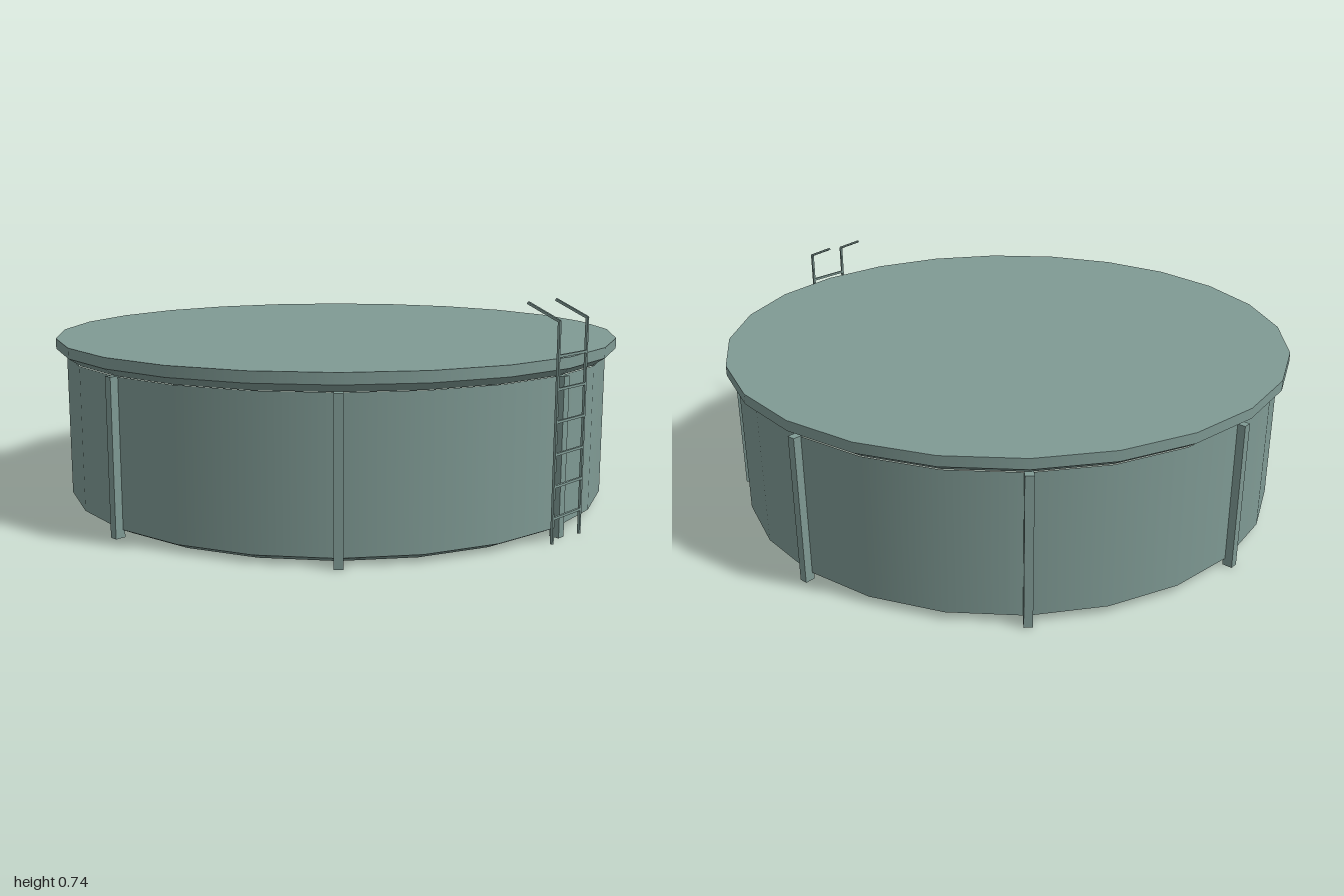
import * as THREE from 'three';

export function createModel() {
  const pool = new THREE.Group();
  pool.name = 'roundPool';
  const paint = new THREE.MeshStandardMaterial({ color: 0x7f9a94 });
  paint.name = 'greyGreen';

  const SIDES = 24;
  const CENTRE_Z = -0.005;

  const add = (parent, name, geometry) => {
    const mesh = new THREE.Mesh(geometry, paint);
    mesh.name = name;
    parent.add(mesh);
    return mesh;
  };

  // Each ring is its own surface, so edges between rings stay sharp
  const body = new THREE.Group();
  body.name = 'body';
  body.position.z = CENTRE_Z;
  pool.add(body);
  const ring = (name, ...profile) =>
    add(body, name, new THREE.LatheGeometry(profile.map(([r, y]) => new THREE.Vector2(r, y)), SIDES));

  ring('bottom', [0, 0], [0.91, 0], [0.96, 0.025]);
  ring('wall', [0.96, 0.025], [0.96, 0.508]);
  ring('rimUnderside', [0.955, 0.508], [0.995, 0.535]);
  ring('rimEdge', [0.995, 0.535], [0.995, 0.57]);
  ring('cover', [0.995, 0.57], [0, 0.57]);

  // Eight upright posts around the wall
  for (let i = 0; i < 8; i++) {
    const a = (i / 8) * Math.PI * 2;
    const post = add(body, 'post', new THREE.BoxGeometry(0.028, 0.51, 0.034));
    post.position.set(Math.sin(a) * 0.968, 0.255, Math.cos(a) * 0.968);
    post.rotation.y = a;
  }

  // Ladder: two stiles with sloping handrails, and six rungs
  const ladder = new THREE.Group();
  ladder.name = 'ladder';
  pool.add(ladder);
  const BAR = 0.008;
  const Z = 0.996;
  for (const side of [-1, 1]) {
    const x = side * 0.076;
    add(ladder, 'stile', new THREE.BoxGeometry(BAR, 0.685, BAR)).position.set(x, 0.3425, Z);
    const rail = add(ladder, 'handrail', new THREE.BoxGeometry(BAR, BAR, Math.hypot(0.114, 0.048)));
    rail.position.set(x, 0.708, Z - 0.056);
    rail.rotation.x = Math.atan2(0.048, 0.114);
  }
  for (let i = 0; i < 6; i++) {
    add(ladder, 'rung', new THREE.BoxGeometry(0.152, BAR, BAR)).position.set(0, 0.08 + i * 0.1, Z);
  }
  return pool;
}
